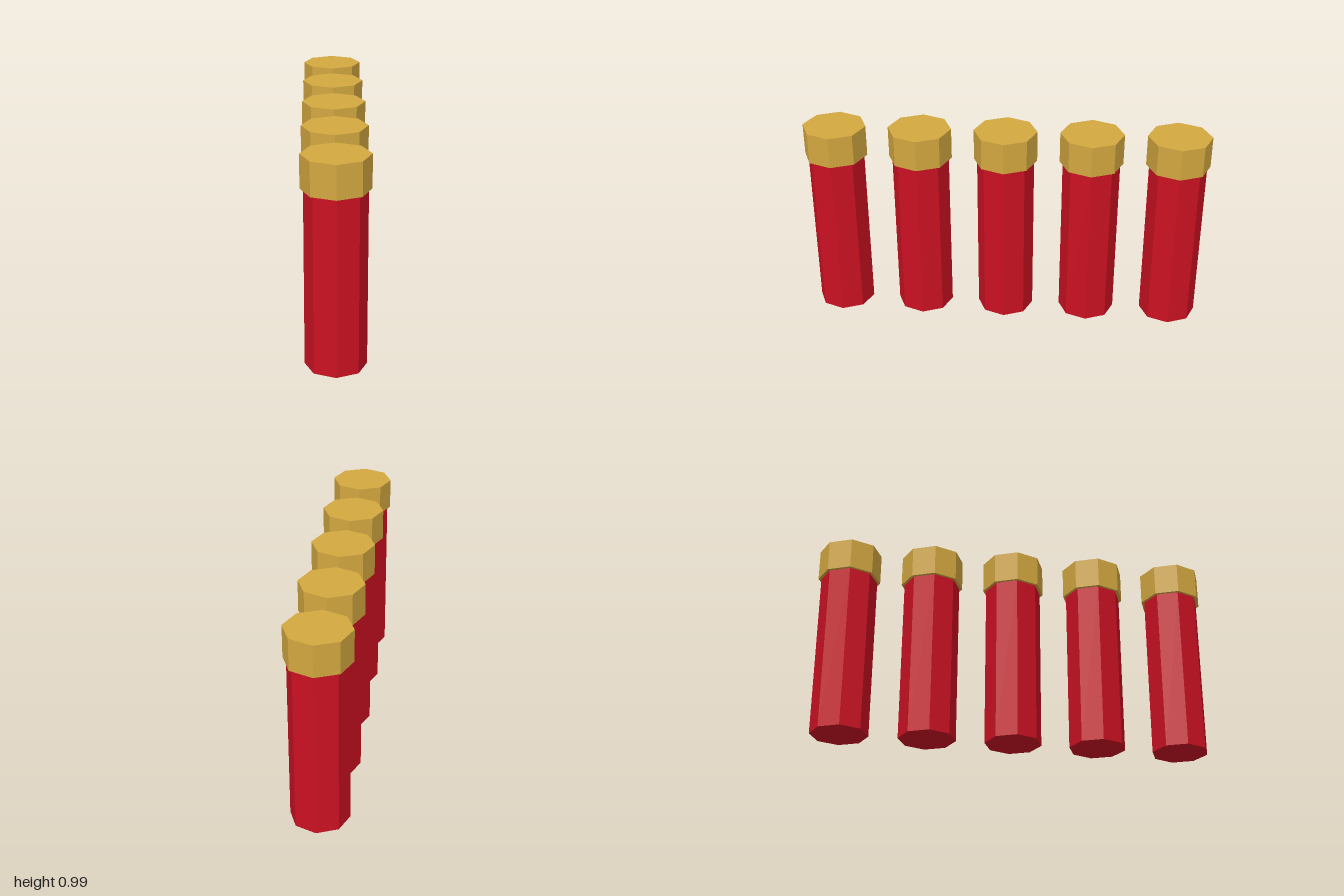
import * as THREE from 'three';

const RED = new THREE.MeshStandardMaterial({ color: 0xcc1122, flatShading: true });
const GOLD = new THREE.MeshStandardMaterial({ color: 0xd4a840, flatShading: true });

const COUNT = 5;
const SPACING = 0.422;
const BODY_HEIGHT = 0.836;
const CAP_HEIGHT = 0.156;

// Octagonal prism standing on the given base height, corners on the axes
function prism(name, radius, height, baseY, material) {
  const mesh = new THREE.Mesh(new THREE.CylinderGeometry(radius, radius, height, 8), material);
  mesh.name = name;
  mesh.position.y = baseY + height / 2;
  return mesh;
}

// One red tube with a wider gold cap
function createCartridge() {
  const cartridge = new THREE.Group();
  cartridge.add(
    prism('body', 0.141, BODY_HEIGHT, 0, RED),
    prism('cap', 0.156, CAP_HEIGHT, BODY_HEIGHT, GOLD)
  );
  return cartridge;
}

export function createModel() {
  const model = new THREE.Group();
  model.name = 'cartridgeRow';

  // Evenly spaced row from back to front
  for (let i = 0; i < COUNT; i++) {
    const cartridge = createCartridge();
    cartridge.name = `cartridge${i + 1}`;
    cartridge.position.z = (i - (COUNT - 1) / 2) * SPACING;
    model.add(cartridge);
  }
  return model;
}
